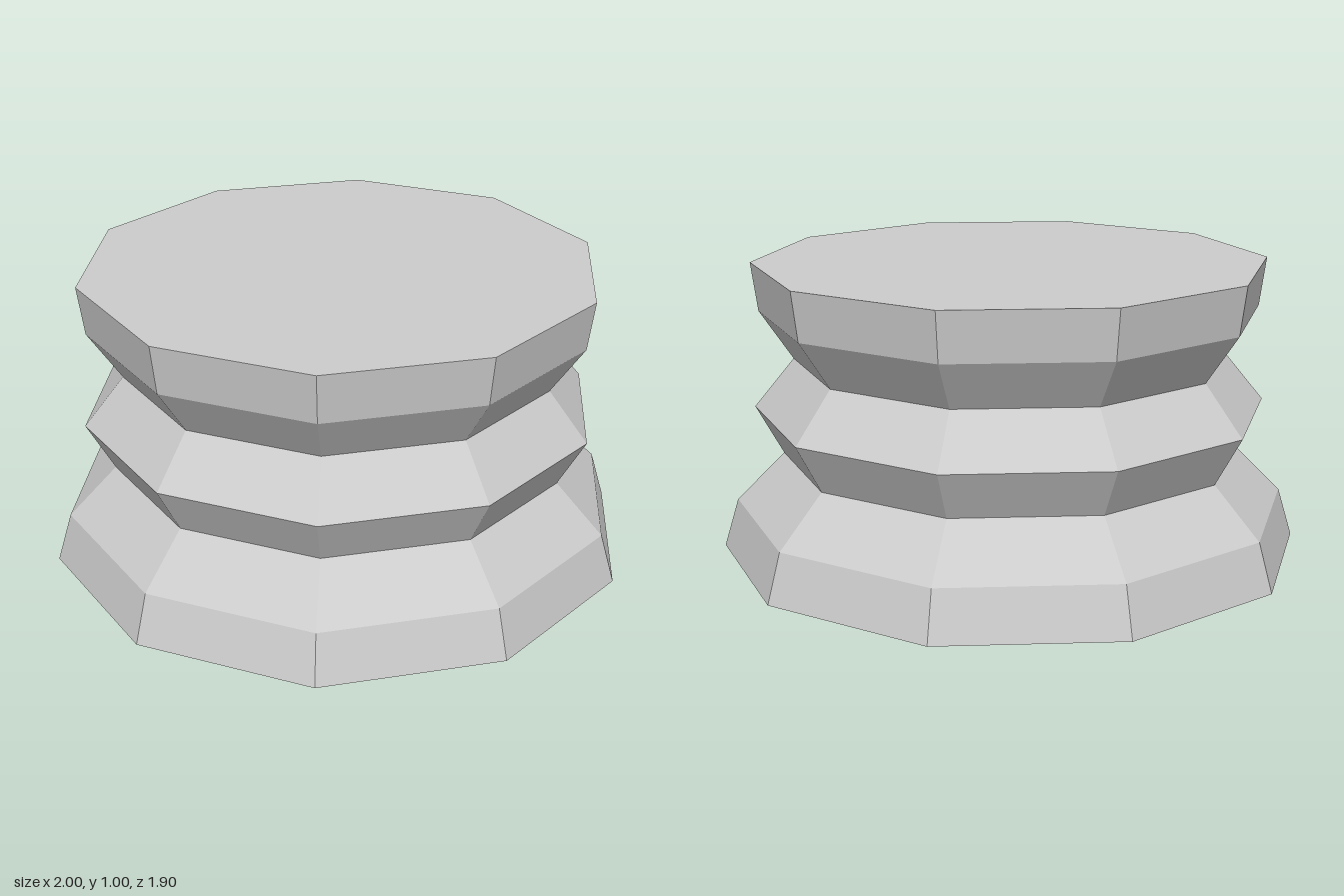
import * as THREE from 'three';

const SIDES = 10;

// Outline of the pedestal as [radius, height], from the base centre to the top centre
const PROFILE = [
  [0, 0],
  [1, 0], [0.95, 0.167],        // flared foot
  [0.785, 0.333],               // lower waist
  [0.878, 0.5],                 // middle ridge
  [0.742, 0.667],               // upper waist
  [0.855, 0.833], [0.878, 1],   // top rim
  [0, 1],
];

export function createModel() {
  const group = new THREE.Group();
  group.name = 'pedestal';

  const grey = new THREE.MeshStandardMaterial({ color: 0xcccccc, flatShading: true });
  grey.name = 'light grey';

  // Ten-sided turned body, with a corner pointing along +x
  const points = PROFILE.map(([r, y]) => new THREE.Vector2(r, y));
  const geometry = new THREE.LatheGeometry(points, SIDES, Math.PI / 2).toNonIndexed();
  geometry.computeVertexNormals();

  const body = new THREE.Mesh(geometry, grey);
  body.name = 'body';
  group.add(body);
  return group;
}
